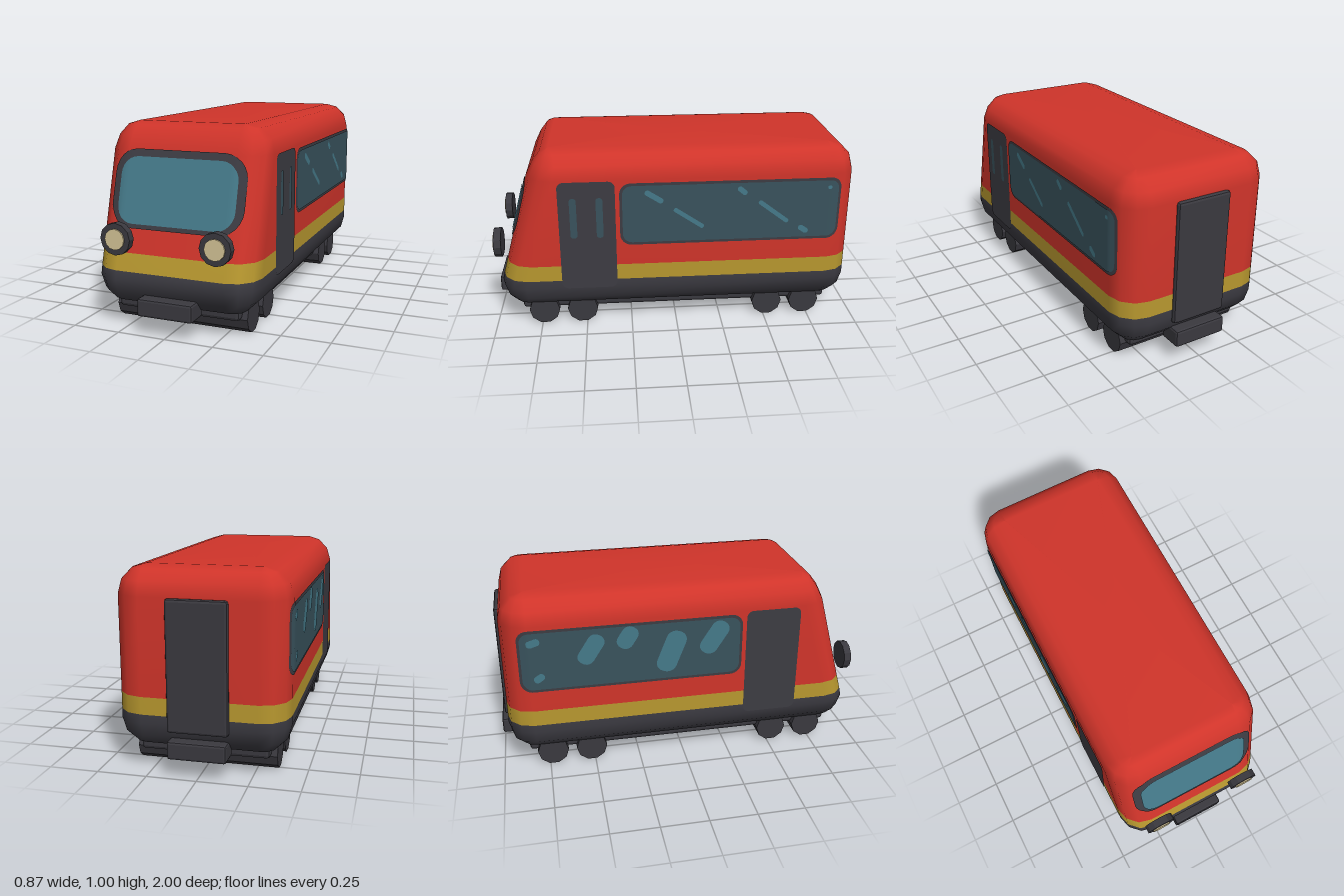
import * as THREE from 'three';
import { RoundedBoxGeometry } from 'three/addons/geometries/RoundedBoxGeometry.js';

const material = (name, color, flatShading = false) => {
  const m = new THREE.MeshStandardMaterial({ color, flatShading });
  m.name = name;
  return m;
};

const HALF = 0.425, BACK = -0.957, R = 0.14;
// Body levels: height, inset of the rounded edge, front z
const LEVELS = [
  [0.12, 0.14, 0.83], [0.13, 0.07, 0.89], [0.18, 0.019, 0.935], [0.25, 0, 0.957],
  [0.295, 0, 0.946], [0.383, 0, 0.921], [0.865, 0, 0.786],
  [0.935, 0.019, 0.75], [0.986, 0.07, 0.71], [1.005, 0.14, 0.665],
];

// Piecewise linear lookup
function lookup(table, t, column) {
  let i = 1;
  while (i < table.length - 1 && t > table[i][0]) i++;
  const a = table[i - 1], b = table[i];
  const k = THREE.MathUtils.clamp((t - a[0]) / (b[0] - a[0]), 0, 1);
  return a[column] + (b[column] - a[column]) * k;
}
const CORNER = [[0, 0], [0.07, 0.019], [0.121, 0.07], [0.14, 0.14]];
const cornerInset = (d) => lookup(CORNER, Math.max(d, 0), 1);

// Points on the body surface: u runs to the viewer's right, v is the height
const onFront = (lift) => (u, v) =>
  [u, v, lookup(LEVELS, v, 2) - cornerInset(Math.abs(u) - HALF + R) + lift];
const onSide = (s, lift) => (u, v) => {
  const z = -s * u;
  return [s * (HALF - cornerInset(BACK + R - z) + lift), v, z];
};

// Rounded rectangular plate that follows a surface
function patch(u0, u1, v0, v1, r, map) {
  const w = u1 - u0, h = v1 - v0, cu = (u0 + u1) / 2, cv = (v0 + v1) / 2;
  const left = [], cols = [];
  for (let k = 0; k <= 6; k++) {
    const a = (k / 6) * Math.PI / 2;
    left.push([-w / 2 + r - r * Math.cos(a), h / 2 - r + r * Math.sin(a)]);
  }
  cols.push(...left);
  for (let k = 1; k < 20; k++) cols.push([(w / 2 - r) * (k / 10 - 1), h / 2]);
  cols.push(...left.map(([u, hh]) => [-u, hh]).reverse());
  const rows = 8, pos = [], idx = [];
  cols.forEach(([u, hh], i) => {
    for (let j = 0; j <= rows; j++) {
      pos.push(...map(cu + u, cv + hh * (2 * j / rows - 1)));
      if (i && j) {
        const d = i * (rows + 1) + j, c = d - 1, b = d - rows - 1, a = b - 1;
        idx.push(a, c, d, a, d, b);
      }
    }
  });
  const g = new THREE.BufferGeometry();
  g.setAttribute('position', new THREE.Float32BufferAttribute(pos, 3));
  g.setIndex(idx);
  g.computeVertexNormals();
  return g;
}

// Slanted reflection on a side window
function streak(s, z, y, length, width, angle) {
  const map = onSide(s, 0.009), c = Math.cos(angle), n = Math.sin(angle);
  return patch(-length / 2, length / 2, -width / 2, width / 2, width * 0.45,
    (u, v) => map(-s * z + u * c - v * n, y + u * n + v * c));
}

// Shell lofted upwards through rounded rectangles, in three colour bands
function bodyGeometry() {
  const pos = [], idx = [], N = 16;
  for (const [y, inset, front] of LEVELS) {
    const r = R - inset + 0.001, hw = HALF - inset, back = BACK + inset;
    for (let q = 0; q < 4; q++) for (let k = 0; k < 4; k++) {
      const a = (q + k / 3) * Math.PI / 2;
      const cx = q === 0 || q === 3 ? hw - r : r - hw;
      const cz = q < 2 ? front - r : back + r;
      pos.push(cx + r * Math.cos(a), y, cz + r * Math.sin(a));
    }
  }
  const last = LEVELS.length - 1, bottom = pos.length / 3, top = bottom + 1;
  pos.push(0, LEVELS[0][0], 0, 0, LEVELS[last][0], 0);
  const g = new THREE.BufferGeometry();
  for (let i = 0; i < N; i++) idx.push(bottom, i, (i + 1) % N);
  const bands = [[0, 4], [4, 5], [5, last]];
  let start = 0;
  bands.forEach(([from, to], m) => {
    for (let l = from; l < to; l++) for (let i = 0; i < N; i++) {
      const a = l * N + i, b = l * N + (i + 1) % N;
      idx.push(a, a + N, b, b, a + N, b + N);
    }
    if (m === 2) for (let i = 0; i < N; i++) idx.push(top, last * N + (i + 1) % N, last * N + i);
    g.addGroup(start, idx.length - start, m);
    start = idx.length;
  });
  g.setAttribute('position', new THREE.Float32BufferAttribute(pos, 3));
  g.setIndex(idx);
  g.computeVertexNormals();
  return g;
}

export function createModel() {
  const red = material('red paint', 0xd0342a);
  const yellow = material('yellow stripe', 0xb8982f);
  const dark = material('dark grey', 0x3d3c43);
  const metal = material('dark metal', 0x3a393f, true);
  const glass = material('teal glass', 0x457a8a);
  const sideGlass = material('dark glass', 0x39535d);
  const lamp = material('lamp cream', 0xd6c698, true);

  const model = new THREE.Group();
  model.name = 'railcar';
  const add = (name, geometry, mat, x = 0, y = 0, z = 0) => {
    const mesh = new THREE.Mesh(geometry, mat);
    mesh.name = name;
    mesh.position.set(x, y, z);
    model.add(mesh);
    return mesh;
  };

  add('body', bodyGeometry(), [dark, yellow, red]);

  // Windscreen
  add('windscreenFrame', patch(-0.35, 0.35, 0.5, 0.877, 0.12, onFront(0.006)), dark);
  add('windscreen', patch(-0.31, 0.31, 0.522, 0.842, 0.09, onFront(0.01)), glass);

  // Side doors and windows
  for (const s of [1, -1]) {
    const side = s > 0 ? 'left' : 'right';
    const sidePatch = (z0, z1, y0, y1, r, lift) =>
      patch(Math.min(-s * z0, -s * z1), Math.max(-s * z0, -s * z1), y0, y1, r, onSide(s, lift));
    add(side + 'Door', sidePatch(0.325, 0.622, 0.25, 0.86, 0.035, 0.004), dark);
    add(side + 'WindowFrame', sidePatch(-0.871, 0.303, 0.499, 0.847, 0.06, 0.004), dark);
    add(side + 'Window', sidePatch(-0.857, 0.289, 0.514, 0.833, 0.05, 0.007), sideGlass);
  }
  for (const z of [0.545, 0.408])
    add('doorSlit', patch(-z - 0.018, -z + 0.018, 0.547, 0.772, 0.016, onSide(1, 0.007)), sideGlass);

  // Window reflections: side, z, y, length, width, angle
  const streaks = [
    [1, 0.123, 0.77, 0.11, 0.03, -0.57], [1, -0.06, 0.645, 0.19, 0.024, -0.6],
    [1, -0.34, 0.79, 0.06, 0.028, -0.7], [1, -0.51, 0.667, 0.2, 0.024, -0.65],
    [1, -0.675, 0.56, 0.06, 0.03, -0.6], [1, -0.805, 0.795, 0.022, 0.02, 0],
    [-1, -0.79, 0.78, 0.07, 0.04, 0.3], [-1, -0.5, 0.72, 0.18, 0.09, 1.0],
    [-1, -0.31, 0.77, 0.13, 0.09, 1.0], [-1, -0.08, 0.67, 0.24, 0.11, 1.2],
    [-1, 0.15, 0.73, 0.2, 0.1, 1.0], [-1, -0.77, 0.58, 0.06, 0.04, 0.6],
  ];
  for (const p of streaks) add('windowReflection', streak(...p), glass);

  // Headlights
  for (const x of [-0.26, 0.26]) {
    add('headlightHousing', new THREE.CylinderGeometry(0.08, 0.08, 0.04, 12), metal, x, 0.463, 0.966)
      .rotation.x = Math.PI / 2;
    add('headlightLens', new THREE.CylinderGeometry(0.052, 0.052, 0.02, 12), lamp, x, 0.463, 0.983)
      .rotation.x = Math.PI / 2;
  }

  // Rear door, couplers and underframe
  add('rearDoor', new RoundedBoxGeometry(0.3, 0.645, 0.06, 1, 0.014), metal, 0, 0.542, -0.95);
  for (const s of [1, -1])
    add(s > 0 ? 'frontCoupler' : 'rearCoupler',
      new RoundedBoxGeometry(0.29, 0.09, 0.125, 1, 0.012), metal, 0, 0.14, s * 0.9375);
  add('underframe', new RoundedBoxGeometry(0.65, 0.07, 1.71, 1, 0.018), metal, 0, 0.113, 0);

  // Wheel rollers spanning the width, flat side down
  for (const z of [0.735, 0.523, -0.517, -0.73]) {
    const g = new THREE.CylinderGeometry(0.084, 0.084, 0.71, 10);
    g.rotateY(Math.PI / 10).rotateZ(Math.PI / 2);
    // Turn until a flat faces the ground
    g.computeBoundingBox();
    if (g.boundingBox.min.y < -0.082) g.rotateX(Math.PI / 10);
    add('wheelRoller', g, metal, 0, 0.08, z);
  }
  return model;
}
